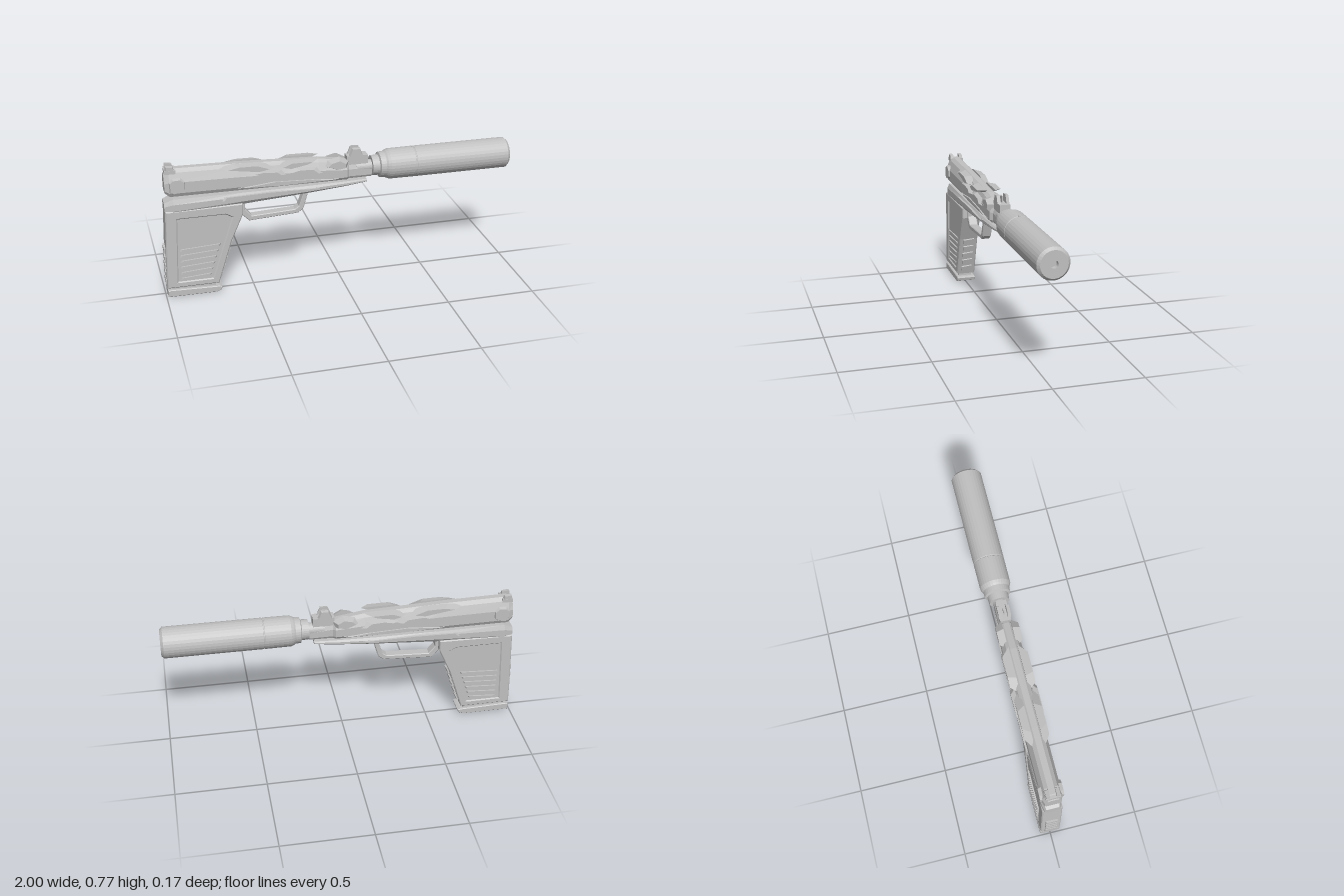
import * as THREE from 'three';

const steel = new THREE.MeshStandardMaterial({ color: 0xc0c0c0 });
steel.name = 'light grey';

// Closed faceted solid through rings of equal length; winding is fixed by signed volume
function loft(rings) {
  const tris = [], n = rings[0].length;
  for (let r = 0; r < rings.length - 1; r++) {
    for (let i = 0; i < n; i++) {
      const j = (i + 1) % n, a = rings[r], b = rings[r + 1];
      tris.push([a[i], a[j], b[j]], [a[i], b[j], b[i]]);
    }
  }
  const cap = (ring, flip) => {
    const c = [0, 1, 2].map(k => ring.reduce((s, p) => s + p[k], 0) / n);
    ring.forEach((p, i) => {
      const q = ring[(i + 1) % n];
      tris.push(flip ? [c, q, p] : [c, p, q]);
    });
  };
  cap(rings[0], true);
  cap(rings[rings.length - 1], false);
  let volume = 0;
  for (const [a, b, c] of tris) {
    volume += new THREE.Vector3(...a).dot(new THREE.Vector3(...b).cross(new THREE.Vector3(...c)));
  }
  const g = new THREE.BufferGeometry();
  const flat = tris.flatMap(([a, b, c]) => (volume < 0 ? [...a, ...c, ...b] : [...a, ...b, ...c]));
  g.setAttribute('position', new THREE.Float32BufferAttribute(flat, 3));
  g.computeVertexNormals();
  return g;
}

// Raised side plate: outline at depth z0 shrinking to a smaller face at z1
function plate(outline, z0, z1, shrink) {
  const n = outline.length;
  const cx = outline.reduce((s, p) => s + p[0], 0) / n;
  const cy = outline.reduce((s, p) => s + p[1], 0) / n;
  return loft([
    outline.map(([x, y]) => [x, y, z0]),
    outline.map(([x, y]) => [cx + (x - cx) * shrink, cy + (y - cy) * shrink, z1]),
  ]);
}

// Side profile extruded evenly about z = 0
function slab(points, half, bevel, hole) {
  const shape = new THREE.Shape(points.map(p => new THREE.Vector2(...p)));
  if (hole) shape.holes.push(new THREE.Path(hole.map(p => new THREE.Vector2(...p))));
  const depth = 2 * (half - bevel);
  return new THREE.ExtrudeGeometry(shape, {
    depth, bevelEnabled: bevel > 0, bevelThickness: bevel, bevelSize: bevel, bevelOffset: -bevel, bevelSegments: 1,
  }).translate(0, 0, -depth / 2);
}

// Turned part along x, points are [x, radius]
function turned(points, sides) {
  const g = new THREE.LatheGeometry(points.map(([x, r]) => new THREE.Vector2(r, x)), sides)
    .rotateZ(-Math.PI / 2).toNonIndexed();
  g.computeVertexNormals();
  return g;
}

export function createModel() {
  const model = new THREE.Group();
  const add = (name, geometry, x = 0, y = 0, z = 0) => {
    const m = new THREE.Mesh(geometry, steel);
    m.name = name;
    m.position.set(x, y, z);
    model.add(m);
    return m;
  };
  const box = (w, h, d) => new THREE.BoxGeometry(w, h, d);
  const axis = 0.653;

  // Silencer with stepped collar and recessed bore
  add('silencer', turned([
    [0.1, 0], [0.1, 0.035], [0.19, 0.035], [0.19, 0.056], [0.23, 0.058], [0.235, 0.072], [0.265, 0.074],
    [0.275, 0.08], [0.29, 0.086], [0.435, 0.087], [0.437, 0.085], [0.441, 0.085], [0.443, 0.087],
    [0.985, 0.087], [1, 0.073], [1, 0.021], [0.97, 0.021], [0.97, 0],
  ], 32), 0, axis);
  for (const s of [-1, 1]) add('silencerPin', box(0.014, 0.012, 0.012), 0.435, axis + s * 0.084);

  // Upper slide, lofted along x: [x, bottom, top, half width]
  const slide = [
    [-0.972, 0.625, 0.725, 0.045], [-0.945, 0.604, 0.757, 0.055], [-0.58, 0.603, 0.75, 0.056],
    [-0.12, 0.601, 0.732, 0.056], [0.04, 0.6, 0.708, 0.052], [0.055, 0.6, 0.703, 0.037], [0.187, 0.6, 0.68, 0.034],
  ].map(([x, b, t, w]) => {
    const h = t - b;
    const half = [[b, w * 0.8], [b + h * 0.14, w], [b + h * 0.55, w], [t - h * 0.12, w * 0.66], [t, w * 0.3]];
    return [...half.map(([y, z]) => [x, y, z]), ...half.reverse().map(([y, z]) => [x, y, -z])];
  });
  add('slide', loft(slide));

  // Lower frame, tapering to the nose: [x, bottom, top, half width]
  const frame = [
    [-0.98, 0.5, 0.565, 0.045], [-0.93, 0.492, 0.587, 0.056], [-0.55, 0.518, 0.586, 0.056],
    [-0.18, 0.542, 0.585, 0.054], [0.03, 0.556, 0.585, 0.045], [0.16, 0.567, 0.585, 0.034],
  ].map(([x, b, t, w]) => {
    const h = t - b;
    const half = [[b, w * 0.75], [b + h * 0.3, w], [t - h * 0.3, w], [t, w * 0.8]];
    return [...half.map(([y, z]) => [x, y, z]), ...half.reverse().map(([y, z]) => [x, y, -z])];
  });
  add('frame', loft(frame));

  // Trigger guard
  add('triggerGuard', slab(
    [[-0.57, 0.53], [-0.56, 0.45], [-0.515, 0.404], [-0.235, 0.42], [-0.205, 0.445], [-0.175, 0.55]], 0.026, 0.004,
    [[-0.535, 0.52], [-0.535, 0.475], [-0.5, 0.432], [-0.255, 0.444], [-0.232, 0.46], [-0.205, 0.535]]));

  // Grip: a core with a raised border around the recessed side panels
  const gripOutline = [[-0.978, 0.52], [-0.99, 0.2], [-0.992, 0.055], [-0.702, 0.055], [-0.622, 0.305], [-0.553, 0.46], [-0.553, 0.525]];
  add('gripCore', slab(gripOutline.map(([x, y]) => [x * 0.98 - 0.016, y]), 0.05, 0));
  add('gripBorder', slab(gripOutline, 0.056, 0.006,
    [[-0.915, 0.47], [-0.93, 0.09], [-0.735, 0.09], [-0.665, 0.3], [-0.615, 0.45], [-0.65, 0.47]]));
  add('magazineNeck', box(0.25, 0.03, 0.08), -0.845, 0.047, 0);
  add('magazineBase', slab([[-0.99, 0.002], [-0.99, 0.04], [-0.975, 0.044], [-0.7, 0.036], [-0.685, 0.03], [-0.69, 0.012], [-0.72, 0]].reverse(), 0.057, 0.004));

  // Finger ridges on the front and back of the grip
  for (let i = 0; i < 5; i++) {
    const y = 0.1 + i * 0.048;
    const front = add('frontRidge', box(0.02, 0.027, 0.066), -0.702 + (y - 0.055) * 0.32, y, 0);
    front.rotation.set(0.1, 0, -0.31);
    add('backRidge', box(0.02, 0.027, 0.066), -0.987, y - 0.01, 0).rotation.x = 0.1;
  }

  for (const s of [1, -1]) {
    const side = (name, outline, z0, z1, shrink) => add(name, plate(outline, s * z0, s * z1, shrink));

    // Slanted grip ridges
    for (let i = 0; i < 6; i++) {
      const y = 0.1 + i * 0.035, right = -0.745 + i * 0.012;
      side('sideRidge', [[-0.915, y], [right, y + 0.012], [right + 0.005, y + 0.024], [-0.91, y + 0.012]], 0.048, 0.058, 0.9);
    }
    // Frame rail strip and rear slide block
    side('railStrip', [[-0.68, 0.55], [-0.4, 0.555], [-0.1, 0.572], [-0.4, 0.577], [-0.66, 0.572]], 0.048, 0.062, 0.9);
    side('rearBlock', [[-0.95, 0.63], [-0.93, 0.618], [-0.88, 0.625], [-0.858, 0.645], [-0.858, 0.69],
      [-0.885, 0.712], [-0.93, 0.71], [-0.952, 0.69]], 0.045, 0.065, 0.82);

    // Angular armour plates along the slide
    side('upperRearPlate', [[-0.69, 0.735], [-0.6, 0.752], [-0.45, 0.75], [-0.34, 0.712], [-0.43, 0.695], [-0.56, 0.715]], 0.025, 0.066, 0.65);
    side('upperFrontPlate', [[-0.37, 0.715], [-0.29, 0.745], [-0.11, 0.743], [-0.16, 0.722], [-0.3, 0.698]], 0.025, 0.07, 0.65);
    side('middleRearPlate', [[-0.54, 0.7], [-0.46, 0.71], [-0.33, 0.7], [-0.29, 0.67], [-0.4, 0.665]], 0.045, 0.074, 0.6);
    side('middleFrontPlate', [[-0.33, 0.685], [-0.25, 0.702], [-0.13, 0.695], [-0.08, 0.655], [-0.2, 0.66]], 0.045, 0.07, 0.6);
    side('lowerPlate', [[-0.62, 0.618], [-0.4, 0.64], [-0.1, 0.628], [0.03, 0.612], [-0.35, 0.608]], 0.045, 0.062, 0.75);
    side('nosePlate', [[-0.1, 0.69], [-0.07, 0.718], [0, 0.735], [0.055, 0.705], [0.05, 0.668], [-0.02, 0.658]], 0.025, 0.064, 0.65);

    // Sight posts
    side('rearSight', [[-0.965, 0.735], [-0.96, 0.775], [-0.92, 0.77], [-0.91, 0.74]], 0.018, 0.038, 0.9);
    side('frontSight', [[0.055, 0.725], [0.075, 0.774], [0.12, 0.774], [0.14, 0.725]], 0.016, 0.034, 0.85);
  }
  add('rearSightBase', box(0.06, 0.02, 0.08), -0.937, 0.742, 0);
  add('frontSightBase', box(0.12, 0.05, 0.06), 0.105, 0.705, 0);
  add('frontSightBlade', box(0.03, 0.045, 0.006), 0.098, 0.745, 0);

  return model;
}
